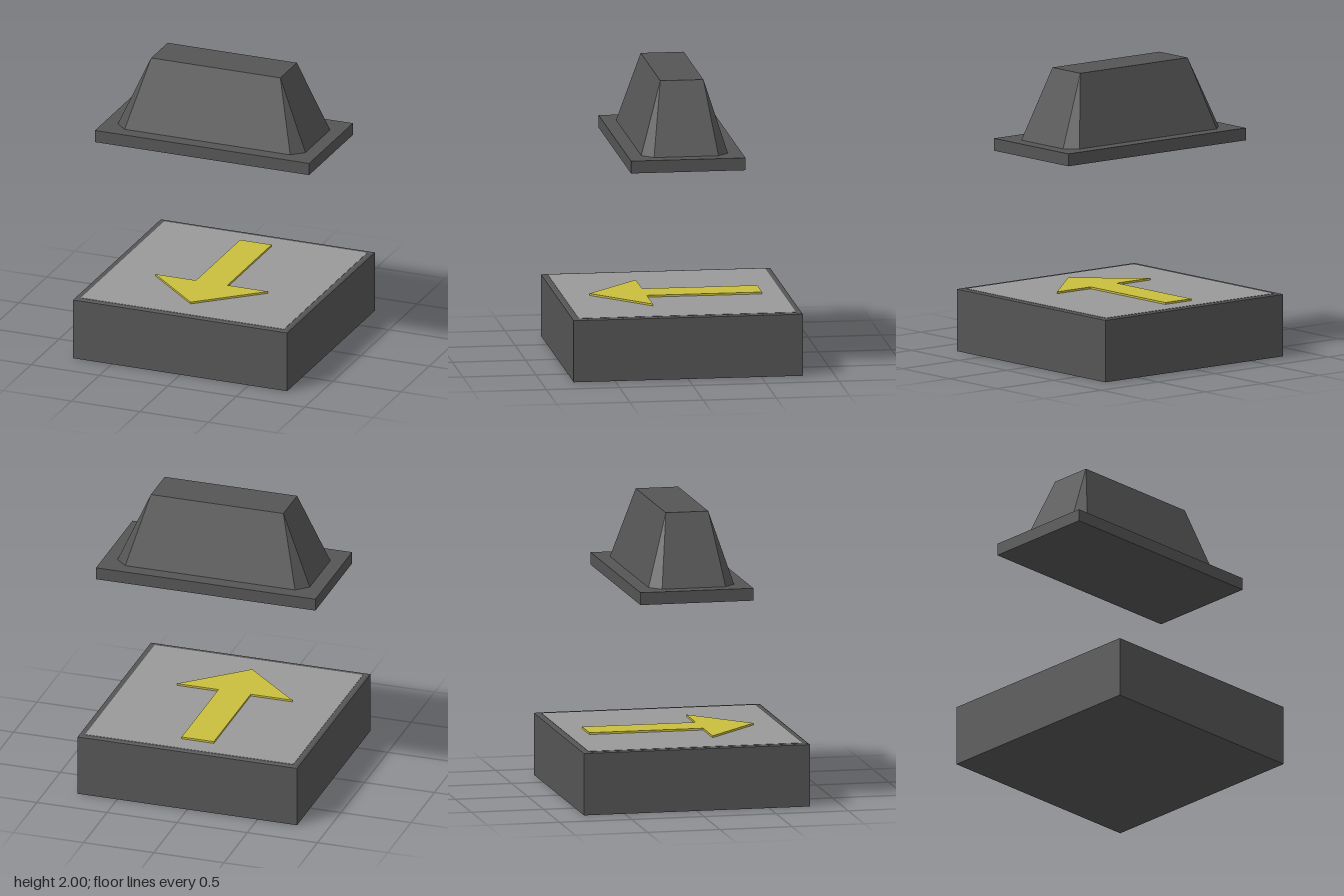
import * as THREE from 'three';
import { ConvexGeometry } from 'three/addons/geometries/ConvexGeometry.js';

const dark = new THREE.MeshStandardMaterial({ color: 0x555555, flatShading: true });
const light = new THREE.MeshStandardMaterial({ color: 0x999999, flatShading: true });
const yellow = new THREE.MeshStandardMaterial({ color: 0xc9bf3f, flatShading: true });

// Four mirrored corners at height y
function corners(x, y, z) {
  const points = [];
  for (const sx of [-1, 1]) {
    for (const sz of [-1, 1]) points.push(new THREE.Vector3(sx * x, y, sz * z));
  }
  return points;
}

function addPart(group, name, geometry, material, y = 0) {
  const mesh = new THREE.Mesh(geometry, material);
  mesh.name = name;
  mesh.position.y = y;
  group.add(mesh);
  return mesh;
}

export function createModel() {
  const model = new THREE.Group();
  model.name = 'arrowBlockWithCap';

  // Square base with a fine bevel around the top
  const base = new THREE.Group();
  base.name = 'base';
  model.add(base);
  addPart(base, 'baseBlock', new ConvexGeometry([
    ...corners(0.782, 0, 0.782),
    ...corners(0.782, 0.425, 0.782),
    ...corners(0.77, 0.43, 0.77),
  ]), dark);

  // Light panel laid into the top
  addPart(base, 'topPanel', new THREE.BoxGeometry(1.484, 0.01, 1.484), light, 0.427);

  // Raised arrow pointing to the front, slightly off centre
  const outline = [
    [-0.115, -0.6], [0.115, -0.6], [0.115, 0.187], [0.412, 0.187],
    [0, 0.562], [-0.412, 0.187], [-0.115, 0.187],
  ];
  const shape = new THREE.Shape(outline.map(([x, z]) => new THREE.Vector2(x - 0.013, -z)));
  const arrow = new THREE.ExtrudeGeometry(shape, { depth: 0.017, bevelEnabled: false });
  arrow.rotateX(-Math.PI / 2);
  addPart(base, 'arrow', arrow, yellow, 0.428);

  // Floating cap: flat flange with a tapered grip
  const cap = new THREE.Group();
  cap.name = 'cap';
  model.add(cap);
  addPart(cap, 'flange', new THREE.BoxGeometry(1.564, 0.085, 0.782), dark, 1.4725);

  // Chamfered foot corners run up to the sharp corners of the top
  addPart(cap, 'grip', new ConvexGeometry([
    ...corners(0.605, 1.515, 0.296),
    ...corners(0.685, 1.515, 0.22),
    ...corners(0.472, 2, 0.147),
  ]), dark);

  return model;
}
